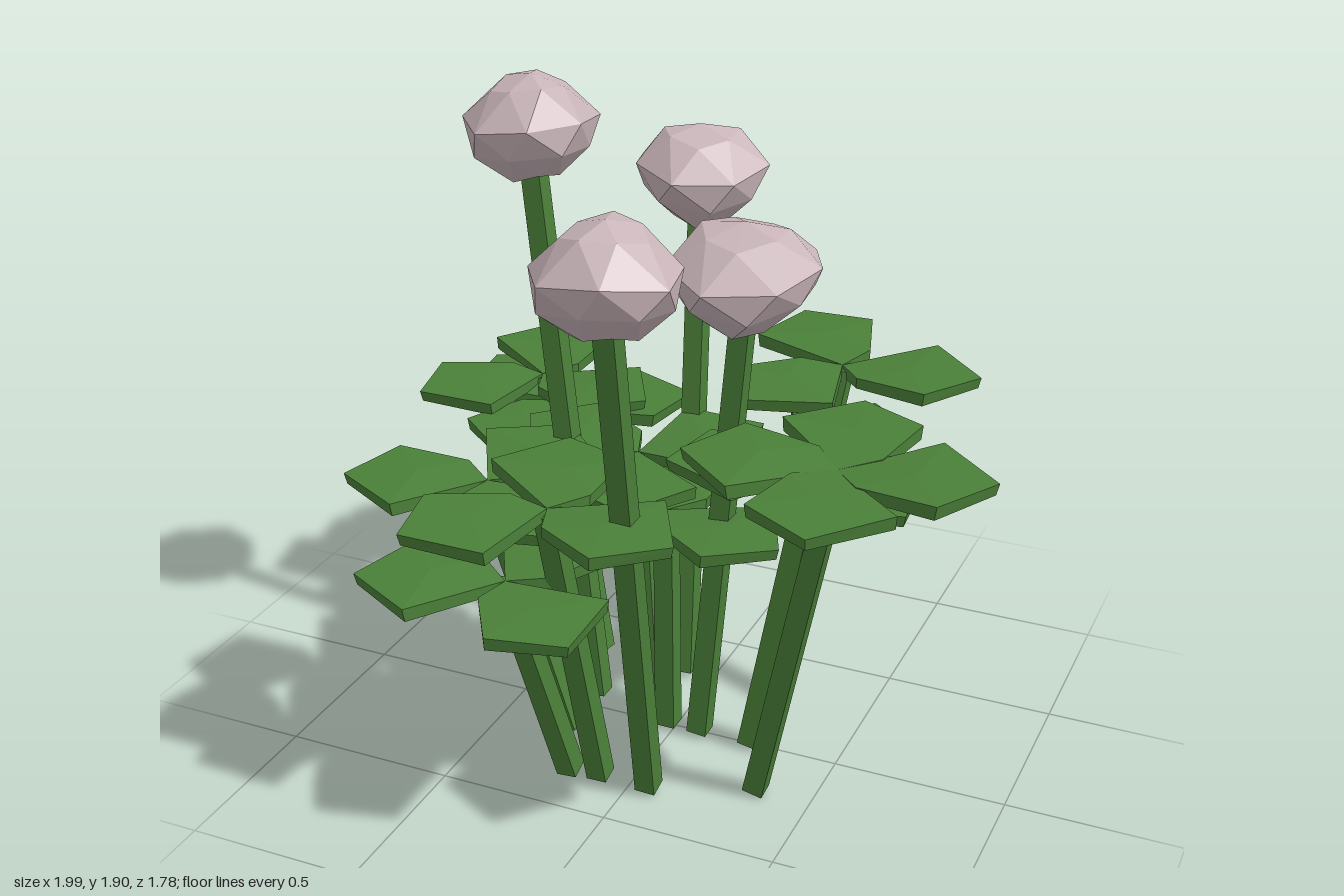
import * as THREE from 'three';

const green = new THREE.MeshStandardMaterial({ color: 0x4b8039 });
green.name = 'leafGreen';
const pink = new THREE.MeshStandardMaterial({ color: 0xc9b5ba });
pink.name = 'paleBlossom';

// Triangles given as points -> faceted geometry
function faceted(triangles) {
  const g = new THREE.BufferGeometry().setFromPoints(triangles.flat());
  g.computeVertexNormals();
  return g;
}
const V = (x, y, z) => new THREE.Vector3(x, y, z);

// Leaflet: thick five-cornered blade growing along +x from the stem
function leafletGeometry() {
  const outline = [[0, 0, -0.012], [0.23, -0.2, 0.004], [0.4, -0.02, 0], [0.28, 0.16, 0.006], [0.07, 0.1, -0.002]];
  const top = outline.map(([x, z, y]) => V(x, y + 0.008, z));
  const bottom = outline.map(([x, z, y], i) => V(x * 0.98, y - 0.024 - (i % 2) * 0.006, z * 0.98));
  const topMid = V(0.2, 0.016, 0.01), bottomMid = V(0.2, -0.018, 0.01);
  const tris = [];
  for (let i = 0; i < 5; i++) {
    const j = (i + 1) % 5;
    tris.push([topMid, top[j], top[i]], [bottomMid, bottom[i], bottom[j]]);
    tris.push([top[i], top[j], bottom[j]], [top[i], bottom[j], bottom[i]]);
  }
  return faceted(tris);
}

// Blossom: twisted, slightly uneven faceted ball
function blossomGeometry() {
  const n = 7;
  const profile = [[-0.13, 0.085], [-0.055, 0.165], [0.025, 0.192], [0.115, 0.105]];
  const rings = profile.map(([y, r], k) => Array.from({ length: n }, (_, i) => {
    const a = ((i + k * 0.62) / n) * Math.PI * 2;
    const s = 1 + 0.05 * Math.sin(i * 2.4 + k * 1.7);
    return V(Math.cos(a) * r * s, y + 0.014 * Math.sin(i * 1.9 + k), Math.sin(a) * r * s);
  }));
  const low = V(0, -0.145, 0), high = V(0, 0.145, 0);
  const tris = [];
  for (let i = 0; i < n; i++) {
    const j = (i + 1) % n;
    tris.push([low, rings[0][i], rings[0][j]], [high, rings[3][j], rings[3][i]]);
    for (let k = 0; k < 3; k++) {
      const a = rings[k], b = rings[k + 1];
      tris.push([a[i], b[i], a[j]], [a[j], b[i], b[j]]);
    }
  }
  return faceted(tris);
}

// Square stem between two points
function stem(from, to) {
  const dir = to.clone().sub(from);
  const g = new THREE.CylinderGeometry(0.04, 0.042, dir.length(), 4).rotateY(Math.PI / 4).toNonIndexed();
  g.computeVertexNormals();
  const m = new THREE.Mesh(g, green);
  m.name = 'stem';
  m.position.copy(from).add(to).multiplyScalar(0.5);
  m.quaternion.setFromUnitVectors(V(0, 1, 0), dir.normalize());
  return m;
}

export function createModel() {
  const model = new THREE.Group();
  model.name = 'cloverPatch';
  const leaflet = leafletGeometry(), blossom = blossomGeometry();

  // Leaf clusters: x, y, z, stem base x, z, first angle, leaflet count
  const clusters = [
    [-0.68, 0.81, -0.52, -0.45, -0.33, 15, 3],
    [-0.57, 0.775, -0.43, -0.38, -0.29, 95, 3],
    [0.33, 1.045, -0.44, 0.18, -0.27, -3, 3],
    [0.6, 1.135, 0.38, 0.34, 0.22, -6, 4],
    [0.42, 0.965, 0.03, 0.24, 0.01, 38, 3],
    [-0.12, 0.96, 0.55, -0.09, 0.33, 15, 3],
    [-0.46, 0.835, 0.25, -0.28, 0.14, 42, 3],
    [-0.24, 0.73, 0.57, -0.18, 0.34, 42, 3],
    [-0.16, 0.825, -0.1, -0.1, -0.06, 75, 3],
    [-0.02, 0.725, 0.02, -0.02, 0.01, 20, 3],
  ];
  for (const [x, y, z, bx, bz, angle, count] of clusters) {
    const clover = new THREE.Group();
    clover.name = 'cloverLeaf';
    clover.add(stem(V(bx, 0.01, bz), V(x, y - 0.015, z)));
    for (let i = 0; i < count; i++) {
      const leaf = new THREE.Mesh(leaflet, green);
      leaf.name = 'leaflet';
      leaf.position.set(x, y, z);
      leaf.rotation.y = -THREE.MathUtils.degToRad(angle + (i * 360) / count);
      clover.add(leaf);
    }
    model.add(clover);
  }

  // Flowers: x, y, z, stem base x, z, width, depth
  const flowers = [
    [-0.46, 1.755, -0.08, -0.28, -0.06, 0.95, 1.08],
    [-0.13, 1.545, -0.48, -0.09, -0.28, 1.06, 0.97],
    [0.13, 1.675, 0.7, 0.06, 0.33, 0.98, 0.99],
    [0.21, 1.465, 0.03, 0.08, 0.01, 1.14, 1.2],
  ];
  flowers.forEach(([x, y, z, bx, bz, w, d], i) => {
    const flower = new THREE.Group();
    flower.name = 'flower';
    const head = new THREE.Group();
    head.name = 'blossom';
    const ball = new THREE.Mesh(blossom, pink);
    ball.name = 'petals';
    ball.rotation.y = i * 1.3;
    head.add(ball);
    head.position.set(x, y, z);
    head.scale.set(w, 1, d);
    flower.add(stem(V(bx, 0.01, bz), V(x, y - 0.1, z)), head);
    model.add(flower);
  });
  return model;
}
